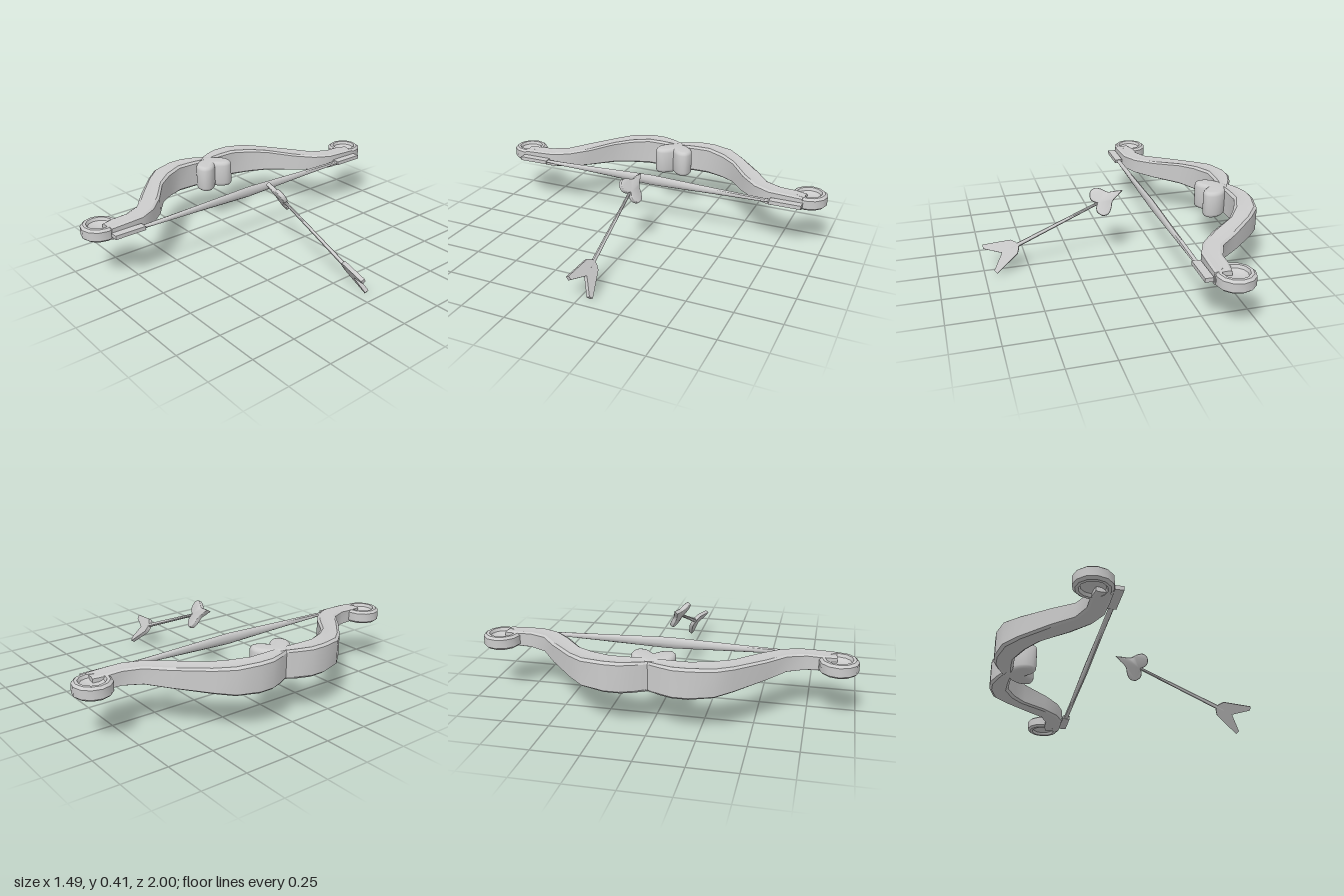
import * as THREE from 'three';
import { toCreasedNormals } from 'three/addons/utils/BufferGeometryUtils.js';

const material = new THREE.MeshStandardMaterial({ color: 0xcccccc, side: THREE.DoubleSide });

function part(name, geometry, crease = 0.6) {
  const mesh = new THREE.Mesh(toCreasedNormals(geometry, crease), material);
  mesh.name = name;
  return mesh;
}

// Skin a row of closed cross-sections (arrays of Vector3) and cap both ends
function loft(sections) {
  const n = sections[0].length, index = [];
  const positions = sections.flat().flatMap(p => [p.x, p.y, p.z]);
  for (let k = 0; k < sections.length - 1; k++) {
    for (let j = 0; j < n; j++) {
      const a = k * n + j, b = k * n + (j + 1) % n;
      index.push(a, b, a + n, b, b + n, a + n);
    }
  }
  const last = (sections.length - 1) * n;
  for (let j = 1; j < n - 1; j++) index.push(0, j + 1, j, last, last + j, last + j + 1);
  const g = new THREE.BufferGeometry();
  g.setAttribute('position', new THREE.Float32BufferAttribute(positions, 3));
  g.setIndex(index);
  return g;
}

// Outline symmetric about the long axis, given its upper half from tip to notch
function mirroredShape(half, smooth) {
  let pts = half.map(([x, y]) => new THREE.Vector2(x, y));
  if (smooth) pts = new THREE.SplineCurve(pts).getPoints(24);
  const lower = pts.slice(1, -1).reverse().map(p => new THREE.Vector2(p.x, -p.y));
  return new THREE.Shape([...pts, ...lower].reverse());
}

function slab(shape, thickness, bevel) {
  const g = new THREE.ExtrudeGeometry(shape, {
    depth: thickness - 2 * bevel, bevelEnabled: bevel > 0,
    bevelThickness: bevel, bevelSize: bevel, bevelOffset: -bevel, bevelSegments: 3,
  });
  return g.translate(0, 0, -(thickness - 2 * bevel) / 2);
}

// Stations of one limb: outer x, z, inner x, z, half height
const limbStations = [
  [-0.69, 0, -0.63, 0, 0.077],
  [-0.72, 0.06, -0.635, 0.05, 0.08],
  [-0.745, 0.13, -0.637, 0.11, 0.081],
  [-0.745, 0.21, -0.638, 0.2, 0.081],
  [-0.715, 0.33, -0.59, 0.305, 0.075],
  [-0.645, 0.415, -0.525, 0.395, 0.066],
  [-0.5, 0.555, -0.39, 0.5, 0.054],
  [-0.39, 0.645, -0.3, 0.595, 0.047],
  [-0.35, 0.74, -0.255, 0.69, 0.043],
  [-0.35, 0.82, -0.25, 0.8, 0.04],
  [-0.335, 0.89, -0.25, 0.88, 0.036],
];

// Section with chamfered edges and a shallow groove, counter-clockwise
const limbSection = [
  [0, -0.85], [0.13, -1], [0.5, -0.92], [0.87, -1], [1, -0.85],
  [1, 0.85], [0.87, 1], [0.5, 0.92], [0.13, 1], [0, 0.85],
];

function createBow() {
  const bow = new THREE.Group();
  bow.name = 'bow';

  const mirrored = limbStations.slice(1).reverse().map(([a, b, c, d, h]) => [a, -b, c, -d, h]);
  const sections = [...mirrored, ...limbStations].map(([ox, oz, ix, iz, h]) =>
    limbSection.map(([t, v]) => new THREE.Vector3(ox + (ix - ox) * t, v * h, oz + (iz - oz) * t)));
  bow.add(part('bowLimbs', loft(sections), 0.5));

  // Round tips, dished above and below
  const upper = [[0.1, 0.024], [0.086, 0.036], [0.07, 0.036], [0.062, 0.02], [0.045, 0.012], [0, 0.009]];
  const profile = [...upper.slice().reverse().map(([r, y]) => [r, -y]), ...upper]
    .map(([r, y]) => new THREE.Vector2(r, y));
  for (const side of [-1, 1]) {
    const tip = part(side > 0 ? 'frontTip' : 'backTip', new THREE.LatheGeometry(profile, 12));
    tip.position.set(-0.35, 0, side * 0.9);
    bow.add(tip);

    // Blocks that tie the string to the limbs
    const tie = part(side > 0 ? 'frontStringTie' : 'backStringTie', new THREE.BoxGeometry(0.045, 0.022, 0.18));
    tie.position.set(-0.223, 0, side * 0.797);
    bow.add(tie);
  }

  // String, deepest at the middle
  const stringSections = [-0.72, -0.4, -0.15, 0, 0.15, 0.4, 0.72].map(z => {
    const h = 0.008 + 0.024 * (1 - Math.abs(z) / 0.72);
    return Array.from({ length: 8 }, (_, i) => {
      const a = i / 8 * Math.PI * 2;
      return new THREE.Vector3(-0.224 + 0.014 * Math.cos(a), h * Math.sin(a), z);
    });
  });
  bow.add(part('string', loft(stringSections), 1));

  // Heart-shaped grip
  const outline = [[0, 0], [0.04, 0.055], [0.08, 0.098], [0.125, 0.113], [0.168, 0.1],
    [0.18, 0.065], [0.165, 0.03], [0.135, 0]];
  const grip = part('heartGrip', slab(mirroredShape(outline, true), 0.156, 0.022), 0.8);
  grip.rotation.x = -Math.PI / 2;
  grip.position.x = -0.69;
  bow.add(grip);

  bow.position.y = 0.29;
  return bow;
}

// Arrow laid out along +x from its point at the origin
function createArrow() {
  const arrow = new THREE.Group();
  arrow.name = 'arrow';

  const head = [[0, 0], [0.04, 0.015], [0.08, 0.03], [0.105, 0.062], [0.135, 0.083],
    [0.168, 0.075], [0.184, 0.045], [0.178, 0.02], [0.16, 0]];
  arrow.add(part('heartHead', slab(mirroredShape(head, true), 0.026, 0.007), 0.8));

  const shaft = part('shaft', new THREE.CylinderGeometry(0.008, 0.012, 0.55, 8), 1);
  shaft.rotation.z = Math.PI / 2;
  shaft.position.x = 0.425;
  arrow.add(shaft);

  const fins = [[0.655, 0], [0.66, 0.018], [0.68, 0.043], [0.83, 0.09], [0.836, 0.068], [0.755, 0]];
  arrow.add(part('tailFins', slab(mirroredShape(fins, false), 0.022, 0)));

  // Slanted downward and rolled about its own axis
  const along = new THREE.Vector3(0.92, -0.39, -0.016).normalize();
  const normal = along.clone().cross(new THREE.Vector3(0.33, 0.76, 0.55)).normalize();
  const across = normal.clone().cross(along);
  arrow.quaternion.setFromRotationMatrix(new THREE.Matrix4().makeBasis(along, across, normal));
  arrow.position.set(-0.05, 0.4, 0);
  return arrow;
}

export function createModel() {
  const model = new THREE.Group();
  model.name = 'bowAndArrow';
  model.add(createBow(), createArrow());
  return model;
}
